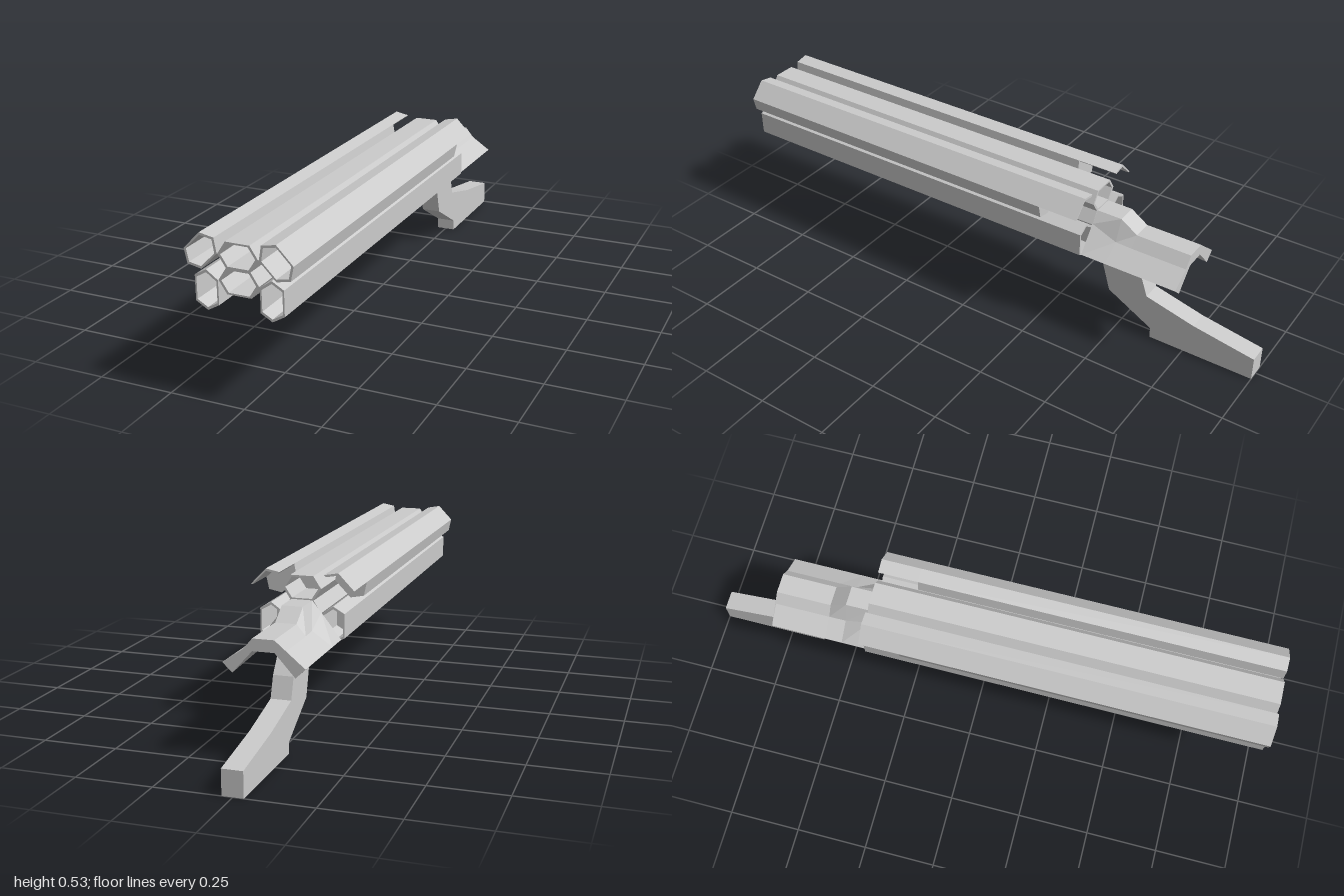
import * as THREE from 'three';

const material = new THREE.MeshStandardMaterial({ color: 0xcccccc, flatShading: true, side: THREE.DoubleSide });

const makeShape = (pts) => new THREE.Shape(pts.map(([x, y]) => new THREE.Vector2(x, y)));
const mirror = (pts, s) => pts.map(([x, y]) => [x * s, y]);

// Shrink an outline towards its centre to get the bore
function inset(pts, k = 0.86) {
  const cx = pts.reduce((a, p) => a + p[0], 0) / pts.length;
  const cy = pts.reduce((a, p) => a + p[1], 0) / pts.length;
  return pts.map(([x, y]) => [cx + (x - cx) * k, cy + (y - cy) * k]);
}

// Extrude an outline in x,y from z0 to z1, optionally with a hole
function extrudeZ(pts, z0, z1, hole) {
  const shape = makeShape(pts);
  if (hole) shape.holes.push(makeShape(hole));
  const geo = new THREE.ExtrudeGeometry(shape, { depth: z1 - z0, bevelEnabled: false });
  return geo.translate(0, 0, z0);
}

// Extrude a side profile given as [z, y] across the width
function extrudeSide(pts, width) {
  const geo = extrudeZ(pts.map(([z, y]) => [-z, y]), -width / 2, width / 2);
  return geo.rotateY(Math.PI / 2);
}

// Join equal-sized cross-sections into a closed solid
function loft(sections) {
  const n = sections[0].length;
  const index = [];
  for (let s = 0; s < sections.length - 1; s++) {
    for (let i = 0; i < n; i++) {
      const a = s * n + i, b = s * n + (i + 1) % n;
      index.push(a, a + n, b, b, a + n, b + n);
    }
  }
  const tris = THREE.ShapeUtils.triangulateShape(sections[0].map(([x, y]) => new THREE.Vector2(x, y)), []);
  const last = (sections.length - 1) * n;
  for (const [a, b, c] of tris) index.push(a, b, c, last + a, last + c, last + b);
  const geo = new THREE.BufferGeometry();
  geo.setAttribute('position', new THREE.Float32BufferAttribute(sections.flat(2), 3));
  geo.setIndex(index);
  geo.computeVertexNormals();
  return geo;
}

export function createModel() {
  const group = new THREE.Group();
  const add = (name, geo) => {
    const mesh = new THREE.Mesh(geo, material);
    mesh.name = name;
    group.add(mesh);
  };

  const front = 1, rear = -0.4, breech = -0.26;

  // Hollow six-sided barrel with a plug at the breech
  const addBarrel = (name, pts, back) => {
    const bore = inset(pts);
    add(name, extrudeZ(pts, back, front, bore));
    add(name + 'Plug', extrudeZ(bore, breech, breech + 0.01));
  };

  // Two centre barrels, stacked
  for (const [name, y] of [['upperCentreBarrel', 0.476], ['lowerCentreBarrel', 0.397]]) {
    addBarrel(name, [[-0.039, y - 0.04], [0.039, y - 0.04], [0.065, y],
      [0.039, y + 0.04], [-0.039, y + 0.04], [-0.065, y]], rear);
  }

  // Outer barrels, mirrored
  const upper = [[0.067, 0.475], [0.12, 0.421], [0.165, 0.43], [0.175, 0.476], [0.122, 0.531], [0.075, 0.522]];
  const lower = [[0.067, 0.318], [0.104, 0.297], [0.143, 0.32], [0.143, 0.4], [0.105, 0.422], [0.067, 0.395]];
  const upperBore = inset(upper);
  const shell = [upper[3], upper[4], upper[5], upperBore[5], upperBore[4], upperBore[3]];
  for (const [side, s] of [['left', 1], ['right', -1]]) {
    addBarrel(side + 'UpperBarrel', mirror(upper, s), breech);
    addBarrel(side + 'LowerBarrel', mirror(lower, s), rear);
    // Only the roof of the upper barrel runs past the breech
    add(side + 'BarrelShell', extrudeZ(mirror(shell, s), rear, breech));
  }

  // Receiver: stepped ridge with drooping wings
  const section = (z, ridge, shoulder, tip) => {
    const half = [[0.035, ridge], [0.065, shoulder], [0.132, 0.315], [0.1, tip], [0.06, 0.33], [0.035, 0.357]];
    return [...half, ...mirror(half, -1).reverse()].map(([x, y]) => [x, y, z]);
  };
  add('receiver', loft([
    section(-0.4, 0.437, 0.4, 0.312),
    section(-0.49, 0.437, 0.362, 0.308),
    section(-0.55, 0.396, 0.36, 0.303),
    section(-0.745, 0.396, 0.36, 0.285),
  ]));

  // Underside block and thin trigger plate
  add('lockBlock', extrudeSide([[-0.38, 0.31], [-0.38, 0.36], [-0.53, 0.36], [-0.53, 0.3], [-0.42, 0.3]], 0.066));
  add('triggerPlate', extrudeSide([[-0.26, 0.36], [-0.26, 0.315], [-0.32, 0.255], [-0.45, 0.255], [-0.45, 0.36]], 0.02));

  // Swept grip, with its neck narrowing forward
  add('grip', extrudeSide([[-0.40, 0.32], [-0.43, 0.235], [-0.46, 0.132], [-0.625, 0.038], [-0.625, 0],
    [-1, 0], [-1, 0.083], [-0.78, 0.12], [-0.602, 0.165], [-0.578, 0.235], [-0.525, 0.305], [-0.5, 0.36], [-0.41, 0.36]], 0.068));
  const neck = (z, w, bottom, top) => [[-w, bottom, z], [w, bottom, z], [w, top, z], [-w, top, z]].reverse();
  add('gripNeck', loft([neck(-0.395, 0.01, 0.255, 0.315), neck(-0.435, 0.034, 0.235, 0.315)]));

  return group;
}
